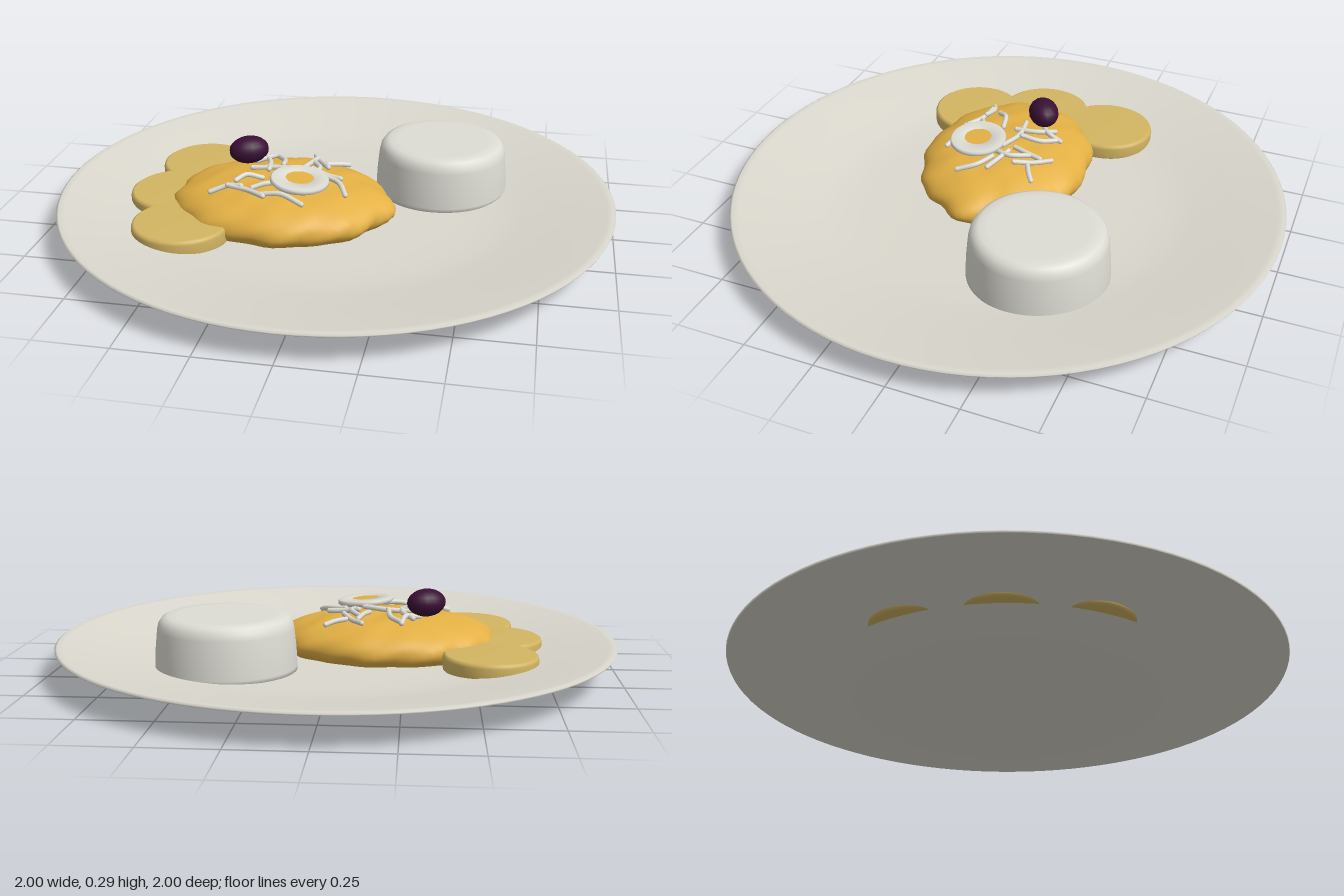
import * as THREE from 'three';
import { mergeVertices } from 'three/addons/utils/BufferGeometryUtils.js';

const paint = (name, color) => {
  const m = new THREE.MeshStandardMaterial({ color });
  m.name = name;
  return m;
};

// Mound shape: centre, half widths and a domed height
const MX = -0.185, MZ = 0.078, RX = 0.39, RZ = 0.31;
const bump = (x, z) =>
  0.5 * Math.sin(x * 23 + 1) * Math.sin(z * 27 + 2) + 0.3 * Math.sin(x * 47 + z * 31) + 0.2 * Math.sin(z * 61 - x * 38);
function moundTop(x, z) {
  const u = Math.min(1, Math.hypot((x - MX) / RX, (z - MZ) / RZ));
  return 0.085 + 0.105 * Math.sqrt(1 - Math.pow(u, 2.6)) + 0.006 * bump(x, z) * (1 - u * u);
}

function moundGeometry() {
  let g = new THREE.SphereGeometry(1, 72, 48);
  g.deleteAttribute('uv');
  g.deleteAttribute('normal');
  g = mergeVertices(g, 1e-4);
  const p = g.attributes.position;
  for (let i = 0; i < p.count; i++) {
    const a = Math.atan2(p.getZ(i), p.getX(i));
    const u = Math.hypot(p.getX(i), p.getZ(i));
    const v = p.getY(i);
    const x = MX + RX * u * Math.cos(a), z = MZ + RZ * u * Math.sin(a);
    const y = v >= 0 ? moundTop(x, z) : 0.085 - 0.052 * Math.min(1, -v * 2);
    // uneven outline with one small point on the left
    const edge = 1 + u * u * (0.018 * Math.sin(a * 9 + 1) + 0.014 * Math.sin(a * 15 + v * 6) + 0.05 * Math.exp(-a * a * 14));
    p.setXYZ(i, MX + (x - MX) * edge, y, MZ + (z - MZ) * edge);
  }
  g.computeVertexNormals();
  return g;
}

export function createModel() {
  const model = new THREE.Group();
  model.name = 'plateOfFood';
  const plateMat = paint('plate ceramic', 0xdbd8ce);
  const riceMat = paint('rice white', 0xdddcd4);
  const moundMat = paint('golden yellow', 0xe3b044);
  const potatoMat = paint('potato yellow', 0xd3b562);
  const oliveMat = paint('olive purple', 0x3a0f34);

  const add = (name, geo, mat, x = 0, y = 0, z = 0) => {
    const m = new THREE.Mesh(geo, mat);
    m.name = name;
    m.position.set(x, y, z);
    model.add(m);
    return m;
  };
  const lathe = (pts, n = 64) => new THREE.LatheGeometry(pts.map(([r, y]) => new THREE.Vector2(r, y)), n);

  // Plate: outside and inside are separate so the rim stays crisp
  add('plateUnderside', lathe([[0, 0], [0.55, 0]], 96), plateMat);
  add('plateOuterWall', lathe([[0.55, 0], [0.997, 0.104]], 96), plateMat);
  add('plateInside', lathe([[0.997, 0.104], [1, 0.11], [0.992, 0.115], [0.97, 0.113], [0.8, 0.084],
    [0.68, 0.062], [0.6, 0.052], [0.5, 0.047], [0.3, 0.045], [0, 0.045]], 96), plateMat);

  // Moulded rice with a rounded top edge
  add('rice', lathe([[0, 0.04], [0.245, 0.04], [0.245, 0.06], [0.242, 0.12], [0.235, 0.19], [0.23, 0.212],
    [0.218, 0.229], [0.2, 0.237], [0.17, 0.238], [0, 0.238]]), riceMat, 0.36, 0, -0.255);

  // Potato slices fanned along the right edge
  const slice = lathe([[0, 0], [0.93, 0], [0.98, 0.006], [1, 0.016], [1, 0.052], [0.98, 0.062], [0.93, 0.067], [0, 0.067]]);
  [[-0.55, -0.205, 0.165, 0.175], [-0.59, 0.07, 0.16, 0.17], [-0.487, 0.33, 0.172, 0.17]].forEach(([x, z, rx, rz], i) => {
    add('potatoSlice' + (i + 1), slice, potatoMat, x, 0.036, z).scale.set(rx, 1, rz);
  });

  add('mound', moundGeometry(), moundMat);

  // Thin strands lying on the mound, as x,z paths
  const strands = [
    [[-0.41, 0.22], [-0.35, 0.2], [-0.3, 0.21]],
    [[-0.33, 0.165], [-0.3, 0.13], [-0.245, 0.118]],
    [[-0.35, 0.205], [-0.28, 0.22], [-0.21, 0.26]],
    [[-0.26, 0.21], [-0.22, 0.19], [-0.17, 0.17]],
    [[-0.22, 0.25], [-0.15, 0.25], [-0.07, 0.275]],
    [[-0.28, -0.08], [-0.245, -0.01], [-0.235, 0.06]],
    [[-0.3, 0.045], [-0.2, 0.035], [-0.1, 0.06]],
    [[-0.24, -0.115], [-0.255, -0.06], [-0.3, -0.03]],
    [[-0.1, -0.13], [-0.065, -0.075], [-0.03, -0.01]],
    [[-0.04, -0.06], [0, -0.08], [0.03, -0.1]],
    [[-0.09, -0.05], [-0.055, 0.02], [-0.075, 0.085]],
    [[-0.08, 0.03], [-0.02, 0.055], [0.03, 0.07]],
    [[-0.12, 0.02], [-0.1, -0.03], [-0.085, -0.09]],
    [[-0.03, 0.075], [0.03, 0.11], [0.065, 0.175]],
    [[-0.19, 0.02], [-0.2, -0.05], [-0.235, -0.1]],
  ];
  strands.forEach((path, i) => {
    const curve = new THREE.CatmullRomCurve3(path.map(([x, z], k) =>
      new THREE.Vector3(x, moundTop(x, z) + 0.007 + 0.005 * ((i + k) % 3), z)));
    add('strand' + (i + 1), new THREE.TubeGeometry(curve, 10, 0.0095, 8), riceMat);
    for (const t of [0, 1]) {
      const end = curve.getPoint(t);
      add('strandEnd', new THREE.SphereGeometry(0.0095, 8, 6), riceMat, end.x, end.y, end.z);
    }
  });

  // Egg slice: white ring around a yolk, tilted a little
  const egg = new THREE.Group();
  egg.name = 'eggSlice';
  const white = new THREE.Mesh(lathe([[0.05, -0.01], [0.098, -0.01], [0.104, -0.005], [0.104, 0.005], [0.098, 0.01], [0.05, 0.01], [0.05, -0.01]], 48), riceMat);
  white.name = 'eggWhite';
  const yolk = new THREE.Mesh(new THREE.CylinderGeometry(0.051, 0.051, 0.017, 32), moundMat);
  yolk.name = 'eggYolk';
  egg.add(white, yolk);
  egg.position.set(-0.1, 0.213, 0.16);
  egg.rotation.set(0.03, 0, -0.08);
  model.add(egg);

  // Olive
  const olive = add('olive', new THREE.SphereGeometry(1, 16, 12), oliveMat, -0.327, 0.24, -0.015);
  olive.scale.set(0.074, 0.05, 0.056);
  olive.rotation.y = 0.55;
  return model;
}
